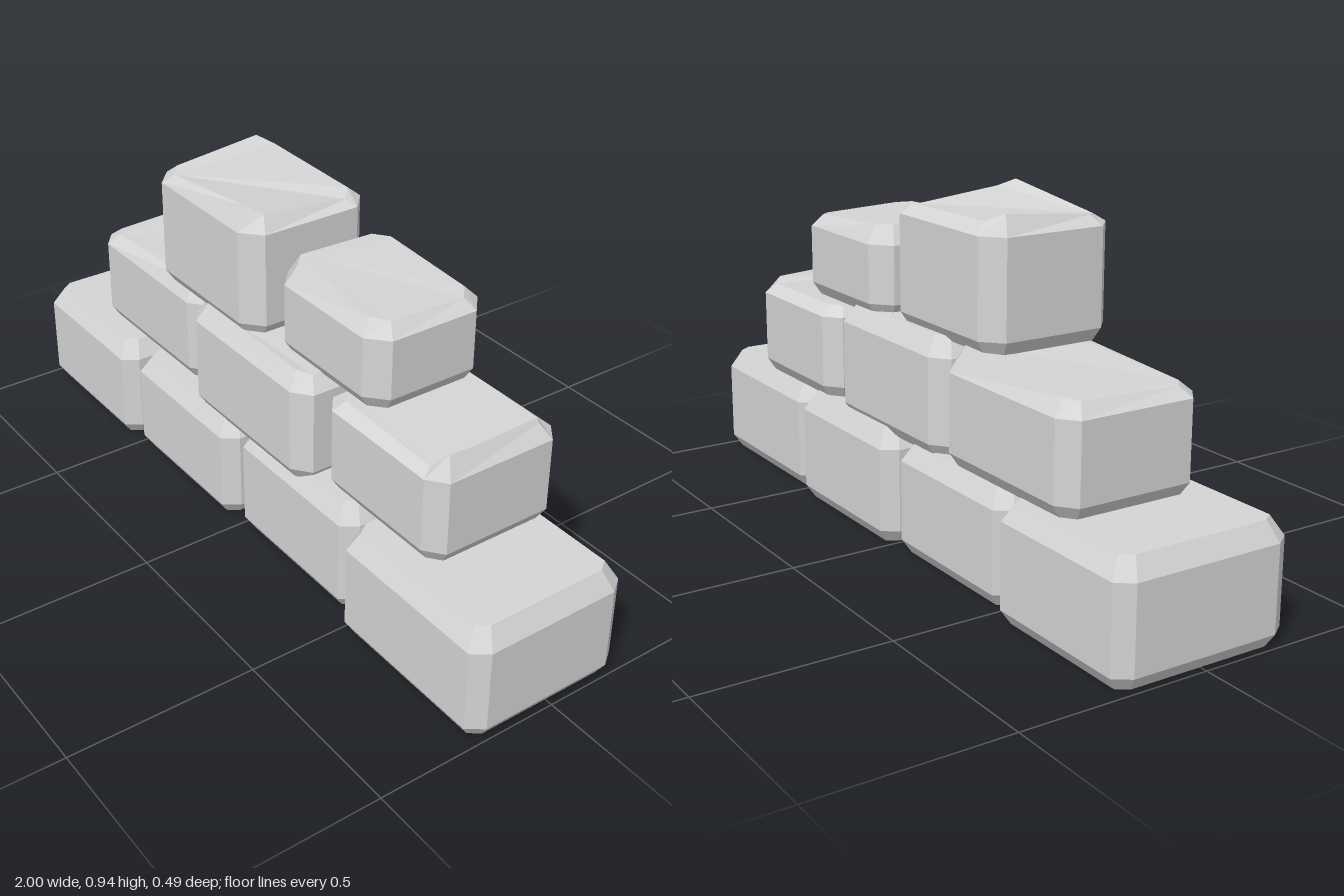
import * as THREE from 'three';

const stone = new THREE.MeshStandardMaterial({ color: 0xd5d5d5 });
stone.name = 'pale grey stone';

// Octagon: rectangle with cut corners, counterclockwise seen from above,
// starting at the left end of the front edge.
function octagon(x0, x1, z0, z1, cx, cz) {
  return [
    [x0 + cx, z1], [x1 - cx, z1], [x1, z1 - cz], [x1, z0 + cz],
    [x1 - cx, z0], [x0 + cx, z0], [x0, z0 + cz], [x0, z1 - cz],
  ];
}

// Chipped block: four octagonal rings, the top one with uneven heights.
// The top facets fan out from corner number `fan`.
function block({ x, z, y, top, cut, inset = 0.03, fan = 0 }) {
  const [x0, x1] = x, [z0, z1] = z, [y0, yBody] = y, [cx, cz] = cut;
  const ring = (i, k, h) =>
    octagon(x0 + i, x1 - i, z0 + i, z1 - i, cx * k, cz * k)
      .map(([px, pz], n) => [px, Array.isArray(h) ? h[n] : h, pz]);
  const rings = [
    ring(0.022, 0.7, y0),
    ring(0, 1, y0 + 0.035),
    ring(0, 1, yBody),
    ring(inset, 0.7, top),
  ];
  const pos = [];
  const tri = (a, b, c) => pos.push(...a, ...b, ...c);
  for (let r = 0; r < 3; r++) {
    for (let i = 0; i < 8; i++) {
      const j = (i + 1) % 8;
      tri(rings[r][i], rings[r][j], rings[r + 1][j]);
      tri(rings[r][i], rings[r + 1][j], rings[r + 1][i]);
    }
  }
  for (let i = 1; i < 7; i++) {
    tri(rings[0][0], rings[0][i + 1], rings[0][i]);
    tri(rings[3][fan], rings[3][(fan + i) % 8], rings[3][(fan + i + 1) % 8]);
  }
  const geo = new THREE.BufferGeometry();
  geo.setAttribute('position', new THREE.Float32BufferAttribute(pos, 3));
  geo.computeVertexNormals(); // unshared corners give flat facets
  return new THREE.Mesh(geo, stone);
}

export function createModel() {
  const wall = new THREE.Group();
  wall.name = 'stoneWall';

  const low = [0.03, 0.042], mid = [0.048, 0.038], high = [0.052, 0.047];
  const rows = {
    bottomRow: [
      { x: [-1.0, -0.527], z: [-0.245, 0.242], y: [0, 0.255], top: 0.305, cut: low },
      { x: [-0.508, -0.03], z: [-0.215, 0.225], y: [0, 0.25], top: 0.3, cut: low },
      { x: [-0.01, 0.47], z: [-0.232, 0.205], y: [0, 0.26], top: 0.312, cut: low },
      { x: [0.49, 1.0], z: [-0.21, 0.243], y: [0, 0.255], top: 0.308, cut: low },
    ],
    middleRow: [
      { x: [-0.765, -0.242], z: [-0.215, 0.175], y: [0.303, 0.54], cut: mid,
        top: [0.567, 0.59, 0.595, 0.595, 0.595, 0.58, 0.575, 0.565] },
      { x: [-0.225, 0.297], z: [-0.205, 0.216], y: [0.29, 0.55], cut: mid,
        top: [0.6, 0.595, 0.59, 0.59, 0.595, 0.6, 0.6, 0.6] },
      { x: [0.315, 0.757], z: [-0.21, 0.172], y: [0.308, 0.54], cut: mid, fan: 1,
        top: [0.565, 0.556, 0.595, 0.578, 0.565, 0.568, 0.568, 0.565] },
    ],
    topRow: [
      { x: [-0.4, 0.059], z: [-0.172, 0.2], y: [0.588, 0.875], cut: high,
        top: [0.895, 0.935, 0.915, 0.89, 0.9, 0.905, 0.925, 0.9] },
      { x: [0.087, 0.503], z: [-0.189, 0.153], y: [0.583, 0.775], cut: high, fan: 7,
        top: [0.828, 0.815, 0.81, 0.802, 0.806, 0.822, 0.824, 0.83] },
    ],
  };

  for (const [name, blocks] of Object.entries(rows)) {
    const row = new THREE.Group();
    row.name = name;
    blocks.forEach((spec, i) => {
      const mesh = block(spec);
      mesh.name = `${name}Block${i + 1}`;
      row.add(mesh);
    });
    wall.add(row);
  }
  return wall;
}
